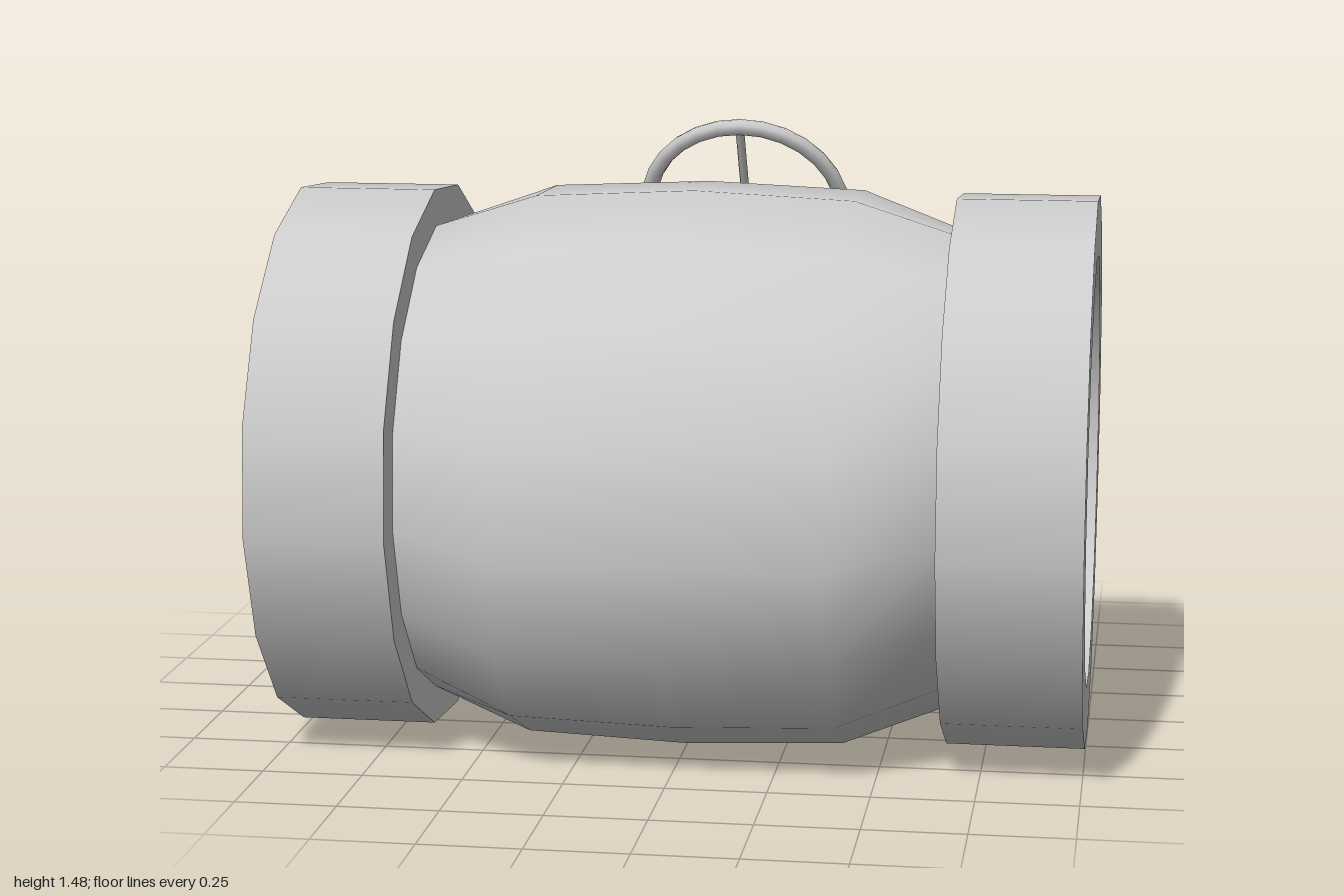
import * as THREE from 'three';
import { mergeGeometries, mergeVertices } from 'three/addons/utils/BufferGeometryUtils.js';

const SIDES = 16;
const smooth = new THREE.MeshStandardMaterial({ color: 0xcccccc });
const faceted = new THREE.MeshStandardMaterial({ color: 0xcccccc, flatShading: true });

function add(parent, name, geometry, material = smooth) {
  const mesh = new THREE.Mesh(geometry, material);
  mesh.name = name;
  parent.add(mesh);
  return mesh;
}

const lathe = (pts, sides) =>
  new THREE.LatheGeometry(pts.map(([r, y]) => new THREE.Vector2(r, y)), sides);

// Revolved profile with a crisp edge at every profile point
const sharpLathe = (pts, sides) =>
  mergeGeometries(pts.slice(1).map((p, i) => lathe([pts[i], p], sides)));

// Bulging shell, wider along the valve axis than across it
function bodyGeometry() {
  const stations = [[0.60, -0.66, 1], [0.667, -0.4, 1.11], [0.69, 0, 1.087], [0.667, 0.4, 1.11], [0.60, 0.66, 1]];
  let g = lathe(stations, SIDES).rotateZ(Math.PI / 2);
  const p = g.attributes.position;
  for (let i = 0; i < p.count; i++) {
    p.setY(i, p.getY(i) * stations[i % stations.length][2]);
  }
  g.deleteAttribute('uv');
  g.deleteAttribute('normal');
  g = mergeVertices(g, 1e-4);
  g.computeVertexNormals();
  return g;
}

export function createModel() {
  const model = new THREE.Group();
  model.name = 'pipeValve';

  // Local +y is the valve axis, tilted towards the back
  const valve = new THREE.Group();
  valve.name = 'valveAssembly';
  valve.position.set(0, 0.698, 0.178);
  valve.rotation.x = THREE.MathUtils.degToRad(-60.4);
  model.add(valve);

  add(valve, 'body', bodyGeometry());
  add(valve, 'bore', lathe([[0.545, 0.66], [0.545, -0.66]], SIDES).rotateZ(Math.PI / 2));

  // End collars
  for (const [name, x0, x1] of [['leftCollar', 0.655, 1], ['rightCollar', -1, -0.655]]) {
    const profile = [[0.545, -x1], [0.695, -x1], [0.695, -x0], [0.545, -x0], [0.545, -x1]];
    add(valve, name, sharpLathe(profile, SIDES).rotateZ(Math.PI / 2));
  }

  // Bonnet: neck, octagonal plate and stepped gland
  add(valve, 'neck', lathe([[0.2, 0.67], [0.14, 0.74], [0.115, 0.79]], SIDES));
  add(valve, 'bonnetPlate', new THREE.CylinderGeometry(0.185, 0.165, 0.105, 8).translate(0, 0.815, 0), faceted);
  add(valve, 'gland', sharpLathe([[0.115, 0.86], [0.11, 0.885], [0.08, 0.89], [0.075, 0.91],
    [0.05, 0.915], [0.045, 0.93], [0, 0.93]], 8));
  add(valve, 'stem', new THREE.CylinderGeometry(0.022, 0.022, 0.2, 10).translate(0, 0.99, 0));

  // Handwheel with four spokes sloping down from the hub
  const wheel = new THREE.Group();
  wheel.name = 'handwheel';
  wheel.position.y = 1.072;
  valve.add(wheel);
  add(wheel, 'rim', new THREE.TorusGeometry(0.272, 0.022, 8, 28).rotateX(Math.PI / 2));
  add(wheel, 'hub', lathe([[0.024, -0.045], [0.04, -0.025], [0.042, 0.01], [0.026, 0.03], [0, 0.035]], 10));
  for (let i = 0; i < 4; i++) {
    const a = (i * Math.PI) / 2;
    const path = new THREE.LineCurve3(
      new THREE.Vector3(0, 0.01, 0),
      new THREE.Vector3(0.27 * Math.cos(a), -0.004, 0.27 * Math.sin(a)));
    add(wheel, 'spoke', new THREE.TubeGeometry(path, 1, 0.012, 8));
  }
  return model;
}
